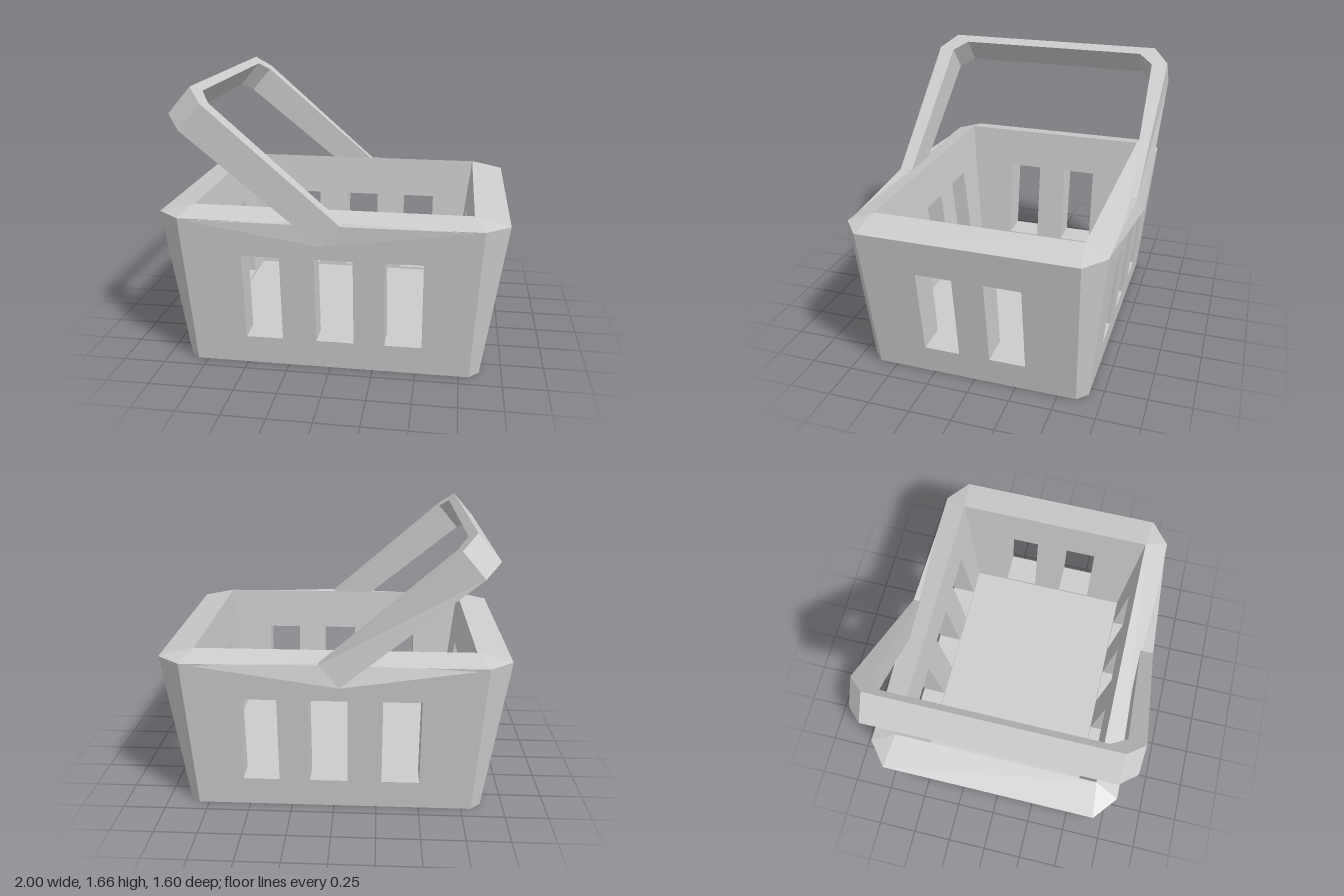
import * as THREE from 'three';
import { ConvexGeometry } from 'three/addons/geometries/ConvexGeometry.js';

const Y_RIM = 0.92, Y_TOP = 0.965, Y_FLOOR = 0.16;
const WIN_Y = [0.175, 0.705];

// Half widths (w) and outward distances (d) of the long and short walls
const LONG = {
  out: { w0: 0.81, w1: 0.86, d0: 0.67, d1: 0.755 },
  inn: { w0: 0.705, w1: 0.8, d0: 0.535, d1: 0.615 },
  windows: [[-0.5, -0.28], [-0.08, 0.14], [0.32, 0.535]],
};
const SHORT = {
  out: { w0: 0.61, w1: 0.64, d0: 0.87, d1: 1.0 },
  inn: { w0: 0.535, w1: 0.615, d0: 0.705, d1: 0.8 },
  windows: [[-0.3, -0.085], [0.1, 0.315]],
};

// Flat polygons (convex, counter-clockwise) as one geometry
function facets(polys) {
  const pos = [];
  for (const p of polys)
    for (let i = 1; i < p.length - 1; i++) pos.push(...p[0], ...p[i], ...p[i + 1]);
  const g = new THREE.BufferGeometry();
  g.setAttribute('position', new THREE.Float32BufferAttribute(pos, 3));
  g.computeVertexNormals();
  return g;
}

const windowCorners = ([l, r]) => {
  const [b, t] = WIN_Y;
  return [[l, b], [r, b], [r, t], [l, t]];
};

// Sloping trapezoid with window holes; flip turns it to face inward
function panel(side, y0, y1, windows, flip) {
  const pts = (list) => list.map(([x, y]) => new THREE.Vector2(x, y));
  const shape = new THREE.Shape(pts([[-side.w0, y0], [side.w0, y0], [side.w1, y1], [-side.w1, y1]]));
  for (const w of windows) shape.holes.push(new THREE.Path(pts(windowCorners(w))));
  const g = new THREE.ShapeGeometry(shape);
  const p = g.attributes.position;
  for (let i = 0; i < p.count; i++) p.setZ(i, depthAt(side, y0, y1, p.getY(i)));
  if (flip) g.index.array.reverse();
  g.computeVertexNormals();
  return g;
}

function depthAt(side, y0, y1, y) {
  return THREE.MathUtils.mapLinear(y, y0, y1, side.d0, side.d1);
}

export function createModel() {
  const model = new THREE.Group();
  const grey = new THREE.MeshStandardMaterial({ color: 0xcccccc, flatShading: true });
  grey.name = 'light grey';

  const add = (parent, geometry, name) => {
    const m = new THREE.Mesh(geometry, grey);
    m.name = name;
    parent.add(m);
    return m;
  };

  // Four walls, each with its rim strip, window reveals and right-hand corner
  ['front', 'left', 'back', 'right'].forEach((name, k) => {
    const a = k % 2 ? SHORT : LONG, b = k % 2 ? LONG : SHORT;
    const windows = k < 2 ? a.windows : a.windows.map(([l, r]) => [-r, -l]);
    const wall = new THREE.Group();
    wall.name = name + 'Wall';
    wall.rotation.y = (k * Math.PI) / 2;
    model.add(wall);

    add(wall, panel(a.out, 0, Y_RIM, windows, false), 'outerFace');
    add(wall, panel(a.inn, Y_FLOOR, Y_TOP, windows, true), 'innerFace');

    const reveals = [];
    for (const w of windows) {
      const c = windowCorners(w);
      const outer = c.map(([x, y]) => [x, y, depthAt(a.out, 0, Y_RIM, y)]);
      const inner = c.map(([x, y]) => [x, y, depthAt(a.inn, Y_FLOOR, Y_TOP, y)]);
      for (let i = 0; i < 4; i++) {
        const j = (i + 1) % 4;
        reveals.push([outer[i], outer[j], inner[j], inner[i]]);
      }
    }
    add(wall, facets(reveals), 'windowReveals');

    const o = a.out, n = a.inn, q = b.out;
    const rimCorner = [n.w1, Y_TOP, n.d1];
    const a0 = [o.w0, 0, o.d0], a1 = [o.w1, Y_RIM, o.d1];
    const b0 = [q.d0, 0, q.w0], b1 = [q.d1, Y_RIM, q.w1];
    add(wall, facets([
      [[-o.w1, Y_RIM, o.d1], a1, rimCorner, [-n.w1, Y_TOP, n.d1]],
      [a1, b1, rimCorner],
    ]), 'rim');
    add(wall, facets([[a0, b0, b1, a1]]), 'corner');
  });

  // Inside floor and underside
  const floor = new THREE.PlaneGeometry(2 * SHORT.inn.d0, 2 * LONG.inn.d0).rotateX(-Math.PI / 2);
  add(model, floor, 'floor').position.y = Y_FLOOR;
  const { w0: lw, d0: ld } = LONG.out, { w0: sw, d0: sd } = SHORT.out;
  const base = new THREE.Shape([
    [-lw, -ld], [lw, -ld], [sd, -sw], [sd, sw], [lw, ld], [-lw, ld], [-sd, sw], [-sd, -sw],
  ].map(([x, z]) => new THREE.Vector2(x, z)));
  add(model, new THREE.ShapeGeometry(base).rotateX(Math.PI / 2), 'underside');

  // Wedges where the handle joins the long sides
  for (const s of [1, -1]) {
    const points = [
      [-0.86, 0.912, 0.75], [0.86, 0.915, 0.75], [-0.04, 0.81, 0.8],
      [0.08, 0.93, s > 0 ? 0.8 : 0.765], [-0.04, 0.8, 0.74], [0.08, 0.928, 0.72],
    ].map(([x, y, z]) => new THREE.Vector3(x, y, z * s));
    add(model, new ConvexGeometry(points), s > 0 ? 'frontHandleJoint' : 'backHandleJoint');
  }

  // Tilted handle: chamfered arch, wider at the grip than at the joints
  const L = 1.106;
  const half = [
    [0.72, 0], [0.8, 0], [0.8, L - 0.115], [0.7, L],
  ];
  const innerHalf = [[0.61, L - 0.054], [0.7, L - 0.131]];
  const mirror = (list) => list.map(([z, t]) => [-z, t]).reverse();
  const arch = new THREE.Shape(
    [...half, ...mirror(half), ...mirror(innerHalf).slice(0, 2), ...innerHalf]
      .map(([z, t]) => new THREE.Vector2(z, t)));
  const handle = new THREE.ExtrudeGeometry(arch, { depth: 1, bevelEnabled: false });
  const p = handle.attributes.position;
  const ux = -0.755, uy = 0.656;
  for (let i = 0; i < p.count; i++) {
    let z = p.getX(i);
    const t = p.getY(i), c = p.getZ(i) * (0.168 + (0.032 * t) / L);
    if (z < -0.75 && t < 0.01 && c < 0.01) z = -0.765;
    p.setXYZ(i, 0.08 + ux * t - uy * c, 0.93 + uy * t + ux * c, z);
  }
  handle.computeVertexNormals();
  add(model, handle, 'handle');

  return model;
}
